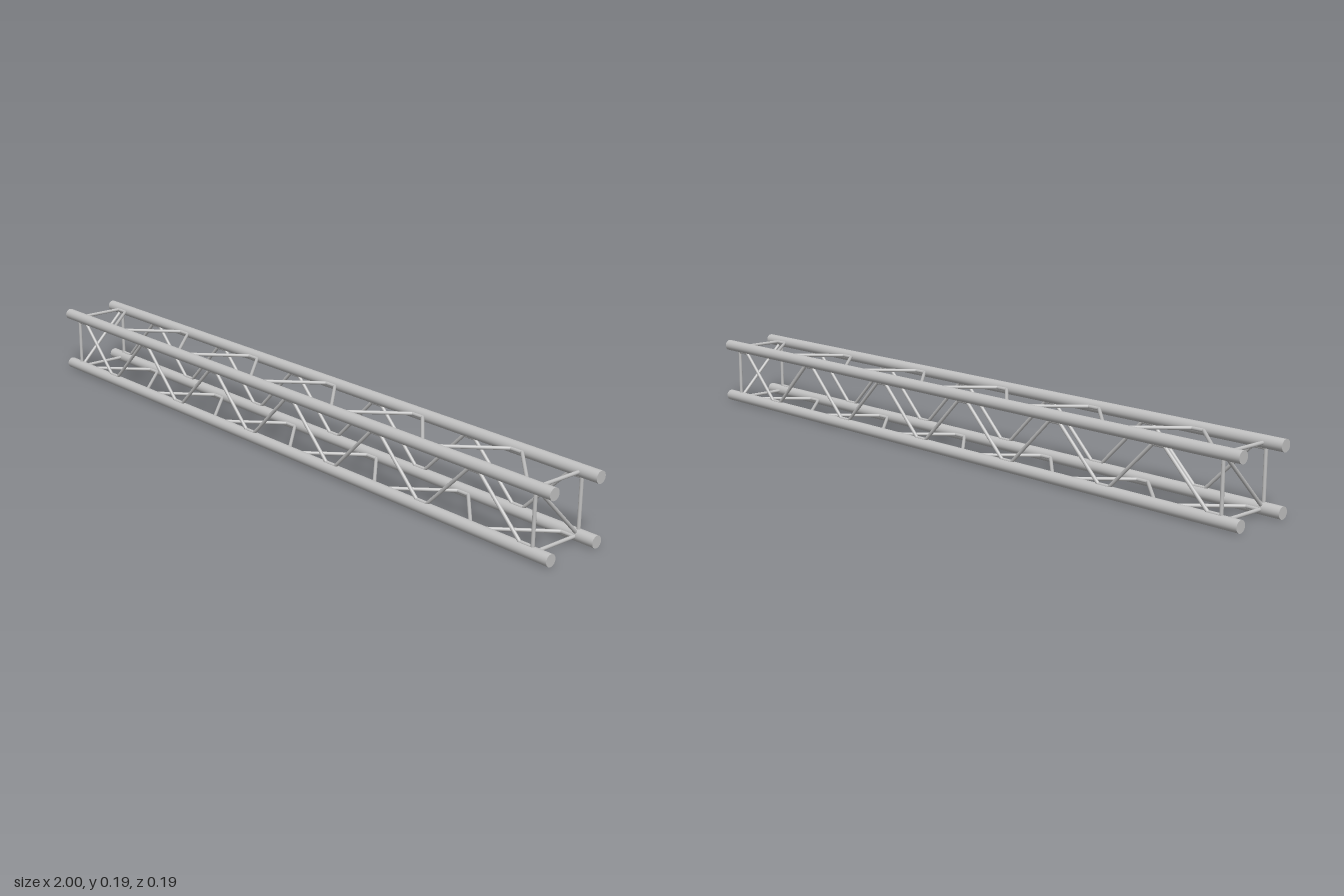
import * as THREE from 'three';

const H = 0.0805;        // half spacing between chord axes
const CHORD_R = 0.016;
const ROD_R = 0.0048;
const MID_Y = H + CHORD_R;
const PANELS = 11;
const PITCH = 0.168;
const FLAT = 0.018;      // half length of the bend that lies along a chord
const POST_X = 0.945;

const metal = new THREE.MeshStandardMaterial({ color: 0xc0c0c0 });
metal.name = 'brushedMetal';

// Round bar between two points
function bar(name, a, b, radius, sides) {
  const dir = b.clone().sub(a);
  const mesh = new THREE.Mesh(new THREE.CylinderGeometry(radius, radius, dir.length(), sides), metal);
  mesh.name = name;
  mesh.position.copy(a).add(b).multiplyScalar(0.5);
  mesh.quaternion.setFromUnitVectors(new THREE.Vector3(0, 1, 0), dir.normalize());
  return mesh;
}

// Bent lacing rod: zigzags between two chords with a short flat at every bend
function lacing(name, place, startSide) {
  const group = new THREE.Group();
  group.name = name;
  const reach = H - 0.015;
  const points = [];
  for (let i = 0; i <= PANELS; i++) {
    const x = (i - PANELS / 2) * PITCH;
    const s = (i % 2 ? -startSide : startSide) * reach;
    points.push(place(x - FLAT, s), place(x + FLAT, s));
  }
  for (let i = 1; i < points.length; i++) {
    group.add(bar('lacingRod', points[i - 1], points[i], ROD_R, 12));
    const bend = new THREE.Mesh(new THREE.SphereGeometry(ROD_R, 12, 8), metal);
    bend.name = 'lacingBend';
    bend.position.copy(points[i]);
    group.add(bend);
  }
  return group;
}

export function createModel() {
  const model = new THREE.Group();
  model.name = 'boxTruss';
  const v = (x, y, z) => new THREE.Vector3(x, y, z);

  const frame = new THREE.Group();
  frame.name = 'trussFrame';
  frame.position.y = MID_Y;
  model.add(frame);

  // Four main chords
  for (const y of [-H, H]) {
    for (const z of [-H, H]) {
      frame.add(bar('chord', v(-1, y, z), v(1, y, z), CHORD_R, 32));
    }
  }

  // End frames: a square of rods with one diagonal, mirrored at the far end
  for (const side of [-1, 1]) {
    const end = new THREE.Group();
    end.name = 'endFrame';
    const x = side * POST_X;
    for (const s of [-H, H]) {
      end.add(bar('endPost', v(x, -H, s), v(x, H, s), ROD_R, 16));
      end.add(bar('endCrossbar', v(x, s, -H), v(x, s, H), ROD_R, 16));
    }
    end.add(bar('endDiagonal', v(x, H, side * H), v(x, -H, -side * H), ROD_R, 16));
    frame.add(end);
  }

  // Lacing on the four faces, staggered so neighbouring bends never meet
  frame.add(lacing('frontLacing', (x, s) => v(x, s, H), 1));
  frame.add(lacing('backLacing', (x, s) => v(x, s, -H), -1));
  frame.add(lacing('topLacing', (x, s) => v(x, H, s), -1));
  frame.add(lacing('bottomLacing', (x, s) => v(x, -H, s), 1));

  return model;
}
